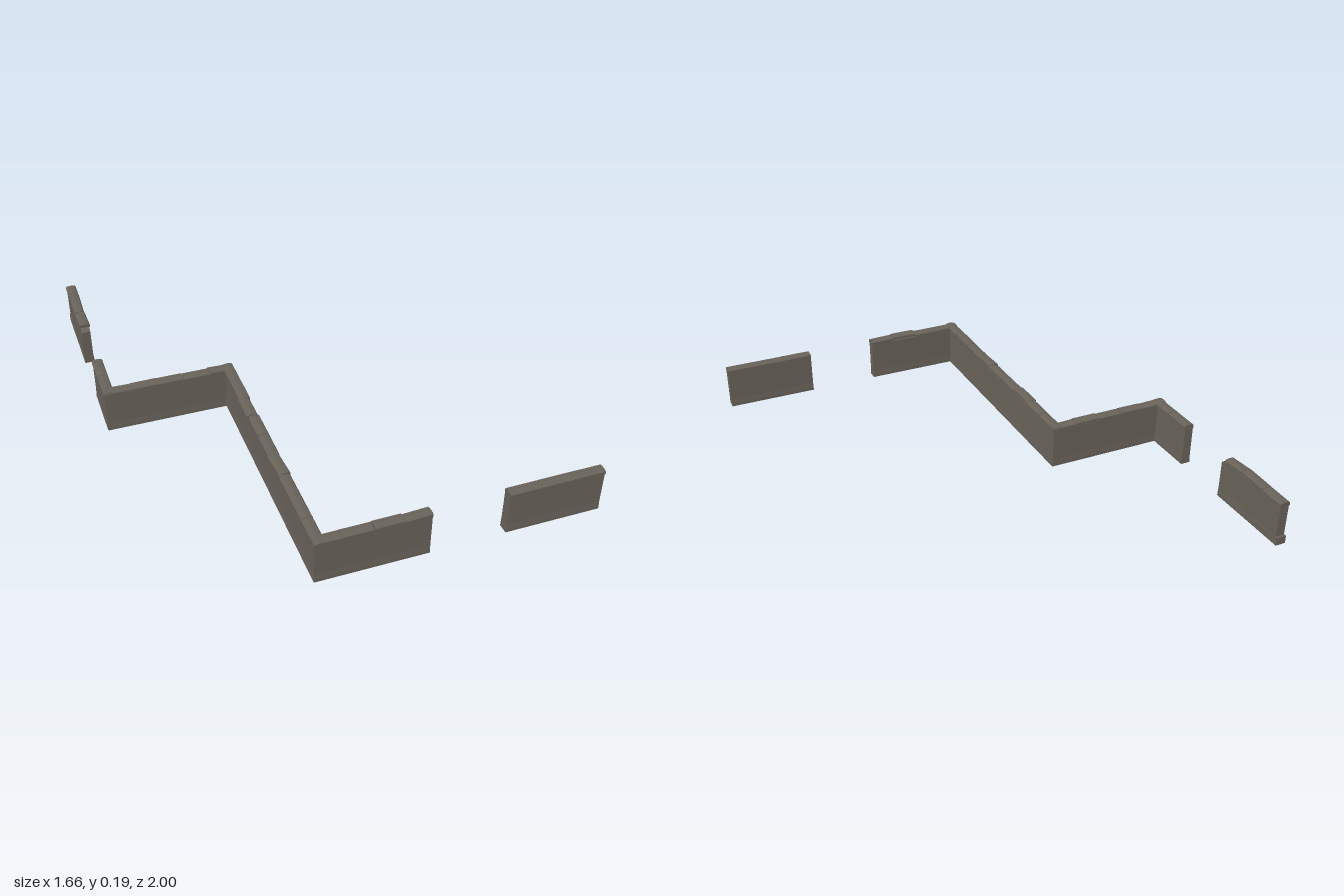
import * as THREE from 'three';

const stone = new THREE.MeshStandardMaterial({ color: 0x69635a });
stone.name = 'weathered stone';

// Extrude a cross-section (z, y points) along local x from a to b
function prism(points, a, b) {
  const shape = new THREE.Shape(points.map(([z, y]) => new THREE.Vector2(-z, y)));
  const g = new THREE.ExtrudeGeometry(shape, { depth: b - a, bevelEnabled: false });
  g.rotateY(Math.PI / 2);
  g.translate(a, 0, 0);
  return g;
}

function add(parent, geometry, name) {
  const mesh = new THREE.Mesh(geometry, stone);
  mesh.name = name;
  parent.add(mesh);
  return mesh;
}

// Coping stone: low ridged cap, with optional sideways shift, lift, yaw and roll
function copingStone(parent, a, b, { shift = 0, lift = 0, yaw = 0, roll = 0, pitch = 0 } = {}) {
  const w = 0.022, h = (b - a) / 2 - 0.0012;
  const profile = [[-w, 0], [w, 0], [w, 0.011], [w - 0.004, 0.0155], [0, 0.0175], [-w + 0.004, 0.0155], [-w, 0.011]];
  const mesh = add(parent, prism(profile, -h, h), 'copingStone');
  mesh.position.set((a + b) / 2, 0.171 + lift, shift);
  mesh.rotation.set(roll, yaw, pitch);
}

// Straight run of wall: core and coping along local x
function wallRun(root, name, { x = 0, z = 0, alongZ = false, from, to, joints, odd = {}, chip = 0 }) {
  const run = new THREE.Group();
  run.name = name;
  run.position.set(x, 0, z);
  if (alongZ) run.rotation.y = -Math.PI / 2;
  root.add(run);

  // Wall core, with a chipped top corner at the far end where given
  const side = new THREE.Shape();
  side.moveTo(from, 0);
  side.lineTo(to, 0);
  side.lineTo(to, 0.172 - chip);
  side.lineTo(to - chip * 1.6, 0.172);
  side.lineTo(from, 0.172);
  const core = new THREE.ExtrudeGeometry(side, { depth: 0.038, bevelEnabled: false });
  core.translate(0, 0, -0.019);
  add(run, core, 'wallCore');

  // Slightly flared foot
  add(run, prism([[-0.021, 0], [0.021, 0], [0.021, 0.012], [0.019, 0.036], [-0.019, 0.036], [-0.021, 0.012]],
    from, to), 'wallFoot');

  for (let i = 0; i < joints.length - 1; i++) copingStone(run, joints[i], joints[i + 1], odd[i]);
  return run;
}

export function createModel() {
  const root = new THREE.Group();
  root.name = 'ruinedLowWall';

  wallRun(root, 'frontWall', {
    z: 0.97, from: -0.317, to: 0.128, joints: [-0.32, -0.215, -0.095, 0.02, 0.13],
    odd: { 1: { shift: -0.001 }, 2: { lift: 0.006, shift: 0.002 }, 3: { yaw: 0.05, lift: 0.002 } },
  });
  wallRun(root, 'detachedFrontWall', {
    z: 0.968, from: 0.435, to: 0.828, joints: [0.434, 0.565, 0.83],
    odd: { 0: { shift: 0.001 } },
  });
  wallRun(root, 'longWall', {
    x: -0.298, alongZ: true, from: -0.14, to: 0.989,
    joints: [-0.143, -0.012, 0.112, 0.235, 0.36, 0.49, 0.612, 0.735, 0.86, 0.998],
    odd: {
      1: { lift: 0.001 }, 2: { shift: 0.005, lift: 0.002 }, 4: { lift: -0.001 },
      5: { yaw: 0.06, lift: 0.002, roll: 0.05 }, 6: { pitch: 0.01 }, 7: { lift: 0.001 },
    },
  });
  wallRun(root, 'middleWall', {
    z: -0.121, from: -0.826, to: -0.279, joints: [-0.83, -0.715, -0.605, -0.495, -0.385, -0.277],
    odd: {
      0: { pitch: -0.02 }, 1: { pitch: 0.01, lift: 0.001 }, 3: { shift: 0.004, lift: 0.001 },
      4: { shift: -0.001, pitch: -0.03 },
    },
  });
  wallRun(root, 'shortReturnWall', {
    x: -0.807, alongZ: true, from: -0.354, to: -0.102, joints: [-0.355, -0.23, -0.1],
  });
  const back = wallRun(root, 'detachedBackWall', {
    x: -0.807, alongZ: true, from: -0.99, to: -0.617, chip: 0.012,
    joints: [-0.992, -0.88, -0.745, -0.64],
    odd: { 0: { pitch: 0.02 }, 1: { shift: 0.002, lift: 0.002, yaw: -0.03 }, 2: { yaw: 0.04, pitch: -0.04 } },
  });
  // Loose foot stone at the back end
  const foot = add(back, new THREE.BoxGeometry(0.13, 0.034, 0.043), 'footStone');
  foot.position.set(-0.935, 0.017, 0);

  return root;
}
